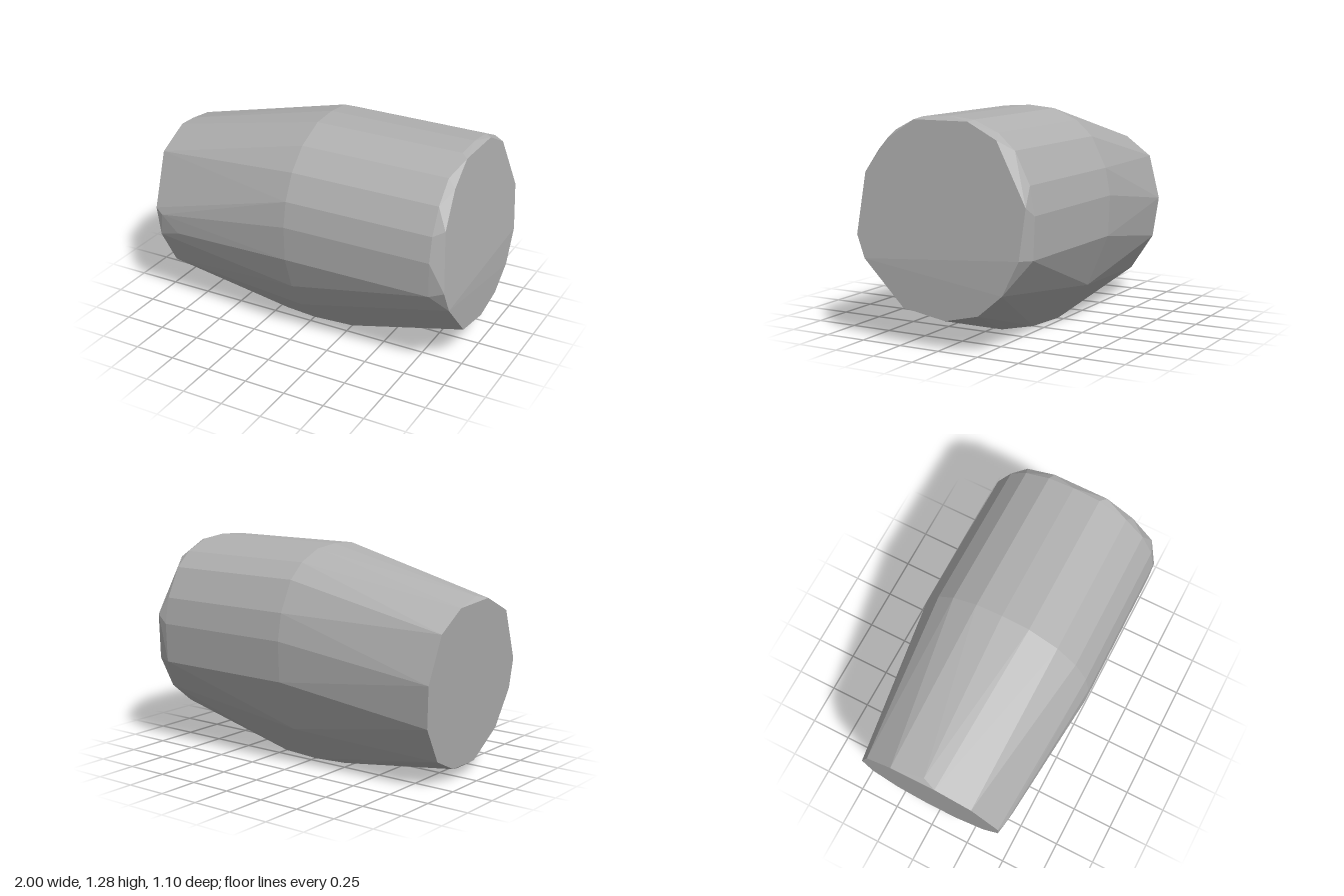
import * as THREE from 'three';
import { ConvexGeometry } from 'three/addons/geometries/ConvexGeometry.js';

// Cross-section around the widest part, as [z, y]
const middle = [
  [0.15, 1.27], [-0.02, 1.28], [-0.18, 1.265], [-0.33, 1.2], [-0.43, 1.11], [-0.52, 0.93],
  [-0.55, 0.77], [-0.54, 0.53], [-0.41, 0.225], [0.36, 0.17], [0.47, 0.35], [0.545, 0.56],
  [0.553, 0.77], [0.525, 0.92], [0.45, 1.07], [0.33, 1.19],
];

// Large end facet, as [z, y]
const largeEnd = [
  [0.18, 1.25], [-0.16, 1.25], [-0.34, 1.16], [-0.53, 0.82], [-0.5, 0.54], [-0.4, 0.345],
  [-0.25, 0.22], [-0.04, 0.17], [0.23, 0.215], [0.48, 0.47], [0.535, 0.6], [0.49, 0.95], [0.35, 1.14],
];

// Small end facet, as [z, y]
const smallEnd = [
  [0.08, 1.04], [-0.2, 1.02], [-0.37, 0.9], [-0.45, 0.63], [-0.42, 0.38], [-0.28, 0.16],
  [-0.1, 0.075], [0.12, 0.075], [0.33, 0.23], [0.44, 0.45], [0.45, 0.63], [0.3, 0.94],
];

// Flat resting base, as [x, z]
const base = [
  [0.41, 0.06], [0.41, -0.06], [0.25, 0.18], [0.25, -0.18], [0, 0.2], [0, -0.21],
  [-0.2, 0.18], [-0.2, -0.18], [-0.39, 0.07], [-0.39, -0.07],
];

export function createModel() {
  const group = new THREE.Group();
  const stone = new THREE.MeshStandardMaterial({ color: 0xb0b0b0 });
  stone.name = 'grey stone';

  const points = [];
  const add = (x, y, z) => points.push(new THREE.Vector3(x, y, z));

  for (const [z, y] of middle) {
    add(0, y, z);
    // Upper rim just behind the large end
    if (y > 0.5) add(0.9, 0.7 + (y - 0.7) * 0.99, z * 0.99);
  }
  // Both end facets lean slightly
  for (const [z, y] of largeEnd) add(y > 0.47 ? 1 - (y - 0.47) * 0.077 : 0.99 + (y - 0.17) * 0.033, y, z);
  for (const [z, y] of smallEnd) add(-0.905 - (y - 0.06) * 0.097, y, z);
  for (const [x, z] of base) add(x, 0, z);
  // Chipped rim of the small end
  add(-0.97, 1.058, 0);
  add(-0.88, 0.056, 0);
  add(-0.91, 0.6, 0.466);
  add(-0.8, 0.5, 0.468);

  const boulder = new THREE.Mesh(new ConvexGeometry(points), stone);
  boulder.name = 'boulder';
  group.add(boulder);
  return group;
}
